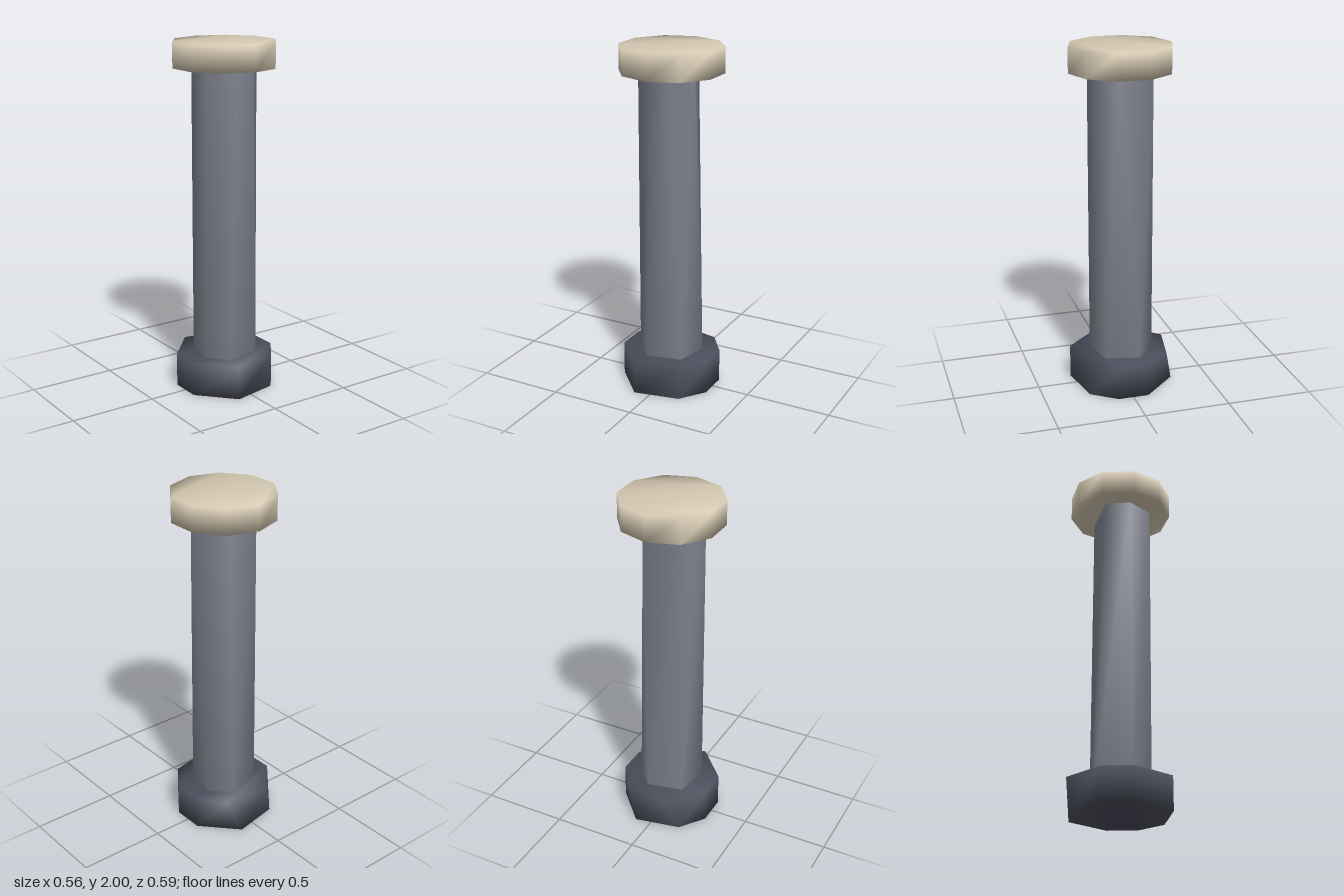
import * as THREE from 'three';

const mat = (name, color) => {
  const m = new THREE.MeshStandardMaterial({ color });
  m.name = name;
  return m;
};

// Closed prism between two rings of azimuths (degrees from +z towards +x).
// Corners are shared between sides and ends, so shading rolls over the rims.
function prism(name, material, bottom, top, y0, y1, radius) {
  const n = bottom.length;
  const pos = [];
  const idx = [];
  const ring = (angles, y) => angles.forEach((deg) => {
    const a = THREE.MathUtils.degToRad(deg);
    const r = radius(deg);
    pos.push(r * Math.sin(a), y, r * Math.cos(a));
  });
  ring(bottom, y0);
  ring(top, y1);

  // sides
  for (let i = 0; i < n; i++) {
    const j = (i + 1) % n;
    idx.push(i, j, n + j, i, n + j, n + i);
  }
  // ends, filled as a zigzag strip
  const end = (a, b, c) => idx.push(n + a, n + b, n + c, c, b, a);
  let lo = 0;
  let hi = n - 1;
  while (hi - lo > 1) {
    end(lo, lo + 1, hi);
    lo++;
    if (hi - lo > 1) {
      end(lo, hi - 1, hi);
      hi--;
    }
  }

  const geo = new THREE.BufferGeometry();
  geo.setAttribute('position', new THREE.Float32BufferAttribute(pos, 3));
  geo.setIndex(idx);
  geo.computeVertexNormals();
  const mesh = new THREE.Mesh(geo, material);
  mesh.name = name;
  return mesh;
}

export function createModel() {
  const group = new THREE.Group();
  group.name = 'post';
  const cream = mat('cream', 0xd6cab3);
  const grey = mat('slateGrey', 0x7c808b);
  const dark = mat('darkSlate', 0x4b4e5b);

  // eight-sided base, slightly twisted at the back
  group.add(prism('base', dark,
    [36, 72, 108, 162, 216, 252, 288, 342],
    [36, 72, 108, 144, 198, 252, 288, 342],
    0, 0.195, (deg) => (deg % 36 ? 0.3 : 0.288)));

  // six-sided shaft with a gentle twist
  group.add(prism('shaft', grey,
    [46, 111, 158, 226, 291, 338],
    [22, 70, 152, 245, 292, 345],
    0.195, 1.855, () => 0.184));

  // regular ten-sided cap
  const decagon = Array.from({ length: 10 }, (_, i) => 36 + i * 36);
  group.add(prism('cap', cream, decagon, decagon, 1.855, 2, () => 0.295));

  return group;
}
